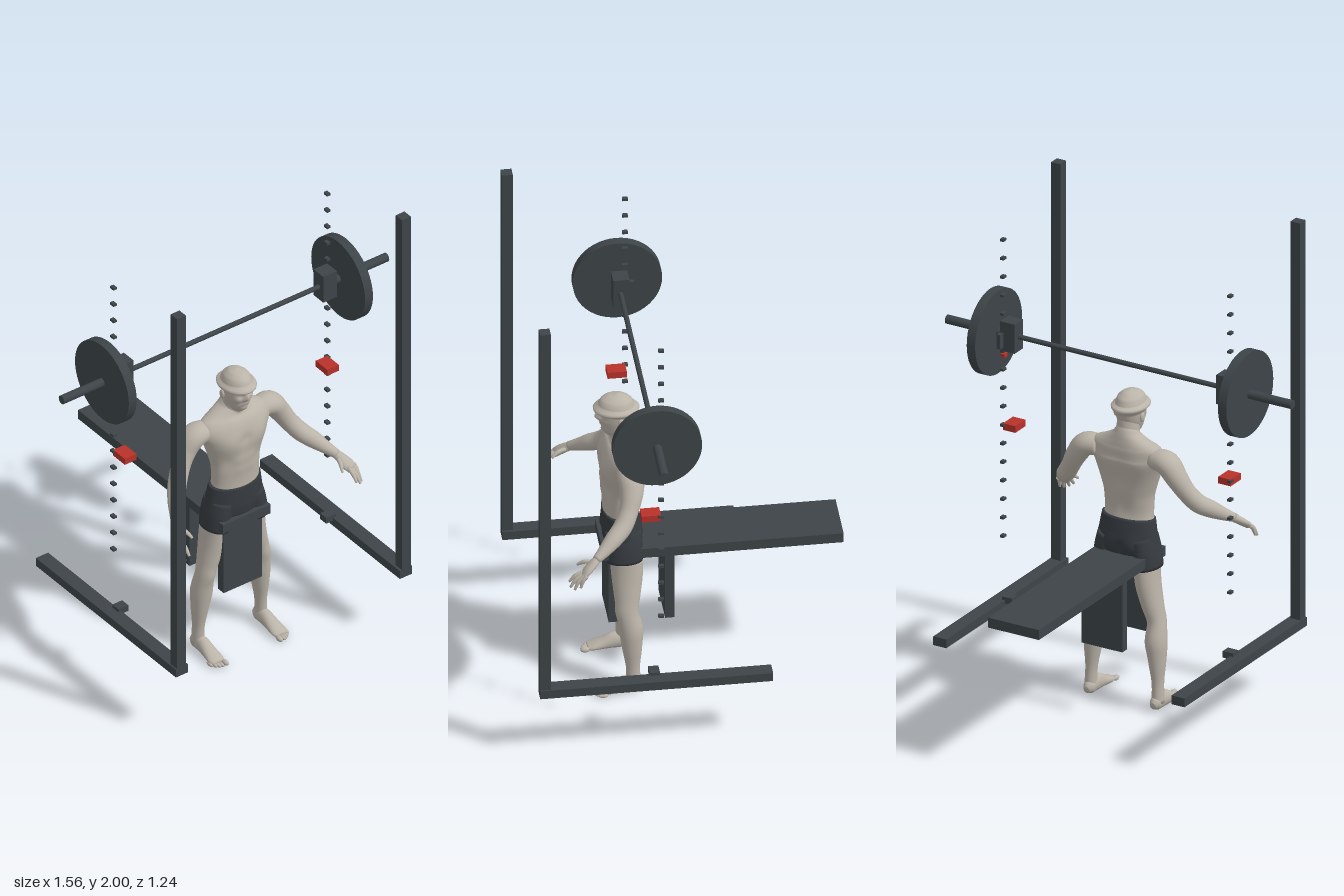
import * as THREE from 'three';

const mat = (name, color) => {
  const m = new THREE.MeshStandardMaterial({ color });
  m.name = name;
  return m;
};

export function createModel() {
  const steel = mat('dark steel', 0x3d4448);
  const cloth = mat('shorts cloth', 0x363b40);
  const red = mat('red paint', 0xb8322a);
  const skin = mat('skin', 0xbab3a8);
  const root = new THREE.Group();

  const add = (parent, name, geo, material) => {
    const m = new THREE.Mesh(geo, material);
    m.name = name;
    parent.add(m);
    return m;
  };
  // Box given by its extents on each axis
  const box = (name, x0, x1, y0, y1, z0, z1, material = steel) => {
    const g = new THREE.BoxGeometry(Math.abs(x1 - x0), y1 - y0, z1 - z0);
    g.translate((x0 + x1) / 2, (y0 + y1) / 2, (z0 + z1) / 2);
    return add(root, name, g, material);
  };
  const rod = (name, x0, x1, r, y, z) => {
    const g = new THREE.CylinderGeometry(r, r, Math.abs(x1 - x0), 48);
    g.rotateZ(Math.PI / 2).translate((x0 + x1) / 2, y, z);
    return add(root, name, g, steel);
  };
  // Smooth skin through elliptical sections [x, y, z, ra, rb]; ra lies along ref.
  // Bumps [x, y, z, amount, size] push the surface out or in, on both sides of x = 0.
  const loft = (parent, name, secs, material, { ref = [1, 0, 0], seg = 24, sub = 5, bumps = [] } = {}) => {
    const path = new THREE.CatmullRomCurve3(secs.map(s => new THREE.Vector3(s[0], s[1], s[2])));
    const size = new THREE.CatmullRomCurve3(secs.map(s => new THREE.Vector3(s[3], s[4], 0)));
    const rows = (secs.length - 1) * sub, pos = [], idx = [];
    const R = new THREE.Vector3(...ref);
    for (let i = 0; i <= rows; i++) {
      const t = i / rows, c = path.getPoint(t), r = size.getPoint(t), T = path.getTangent(t);
      const A = R.clone().addScaledVector(T, -R.dot(T)).normalize();
      const B = A.clone().cross(T);
      for (let j = 0; j < seg; j++) {
        const a = j / seg * Math.PI * 2;
        const d = A.clone().multiplyScalar(Math.cos(a) * r.x).addScaledVector(B, Math.sin(a) * r.y);
        const p = c.clone().add(d), n = d.normalize();
        let push = 0;
        for (const [x, y, z, amt, s] of bumps) {
          const q = (Math.abs(p.x) - x) ** 2 + (p.y - y) ** 2 + (p.z - z) ** 2;
          push += amt * Math.exp(-q / (s * s));
        }
        p.addScaledVector(n, push);
        pos.push(p.x, p.y, p.z);
        if (i < rows) {
          const k = i * seg + j, l = i * seg + (j + 1) % seg;
          idx.push(k, k + seg, l, l, k + seg, l + seg);
        }
      }
    }
    const first = secs[0], last = secs[secs.length - 1], c0 = pos.length / 3;
    pos.push(first[0], first[1], first[2], last[0], last[1], last[2]);
    for (let j = 0; j < seg; j++) {
      const n = (j + 1) % seg;
      idx.push(c0, j, n, c0 + 1, rows * seg + n, rows * seg + j);
    }
    const g = new THREE.BufferGeometry();
    g.setAttribute('position', new THREE.Float32BufferAttribute(pos, 3));
    g.setIndex(idx);
    g.computeVertexNormals();
    return add(parent, name, g, material);
  };
  const ball = (parent, name, x, y, z, rx, ry, rz) => {
    const g = new THREE.SphereGeometry(1, 16, 12);
    g.scale(rx, ry, rz).translate(x, y, z);
    return add(parent, name, g, skin);
  };

  // Rack, catches and weights, mirrored
  for (const s of [-1, 1]) {
    box('upright', s * 0.519, s * 0.561, 0.326, 2, 0.58, 0.622);
    box('baseRail', s * 0.508, s * 0.567, 0.289, 0.326, -0.284, 0.622);
    box('railBracket', s * 0.475, s * 0.522, 0.313, 0.34, 0.15, 0.19);
    for (let i = 0; i < 17; i++) {
      const y = 0.6 + i * 0.0781;
      box('heightPeg', s * 0.505, s * 0.521, y - 0.005, y + 0.005, 0.134, 0.156);
    }
    box('safetyCatch', s * 0.458, s * 0.514, 1.046, 1.074, 0.145, 0.22, red);
    box('barHook', s * 0.455, s * 0.52, 1.384, 1.507, 0.135, 0.198);
    box('hookMount', s * 0.505, s * 0.522, 1.40, 1.46, 0.11, 0.15);
    box('hookPin', s * 0.5, s * 0.518, 1.357, 1.371, 0.134, 0.158, red);
    rod('weightPlate', s * 0.548, s * 0.586, 0.174, 1.443, 0.169);
    rod('barSleeve', s * 0.5, s * 0.78, 0.018, 1.443, 0.169);
  }
  rod('bar', -0.5, 0.5, 0.01, 1.443, 0.169);

  // Bench
  box('benchTop', -0.115, 0.115, 0.596, 0.638, -0.62, 0.316);
  for (const z of [0.035, 0.255]) box('benchLeg', -0.092, 0.092, 0.289, 0.596, z, z + 0.036);

  // Standing figure
  const man = new THREE.Group();
  man.name = 'figure';
  root.add(man);
  const vertical = rows => rows.map(([y, rx, z, rz]) => [0, y, z, rx, rz]);

  loft(man, 'torso', vertical([
    [0.74, 0.11, 0.235, 0.07], [0.80, 0.104, 0.24, 0.064], [0.87, 0.108, 0.24, 0.068],
    [0.93, 0.124, 0.238, 0.073], [0.99, 0.144, 0.236, 0.076], [1.04, 0.165, 0.232, 0.073],
    [1.08, 0.15, 0.222, 0.06], [1.105, 0.1, 0.22, 0.052], [1.13, 0.055, 0.222, 0.048], [1.15, 0.04, 0.228, 0.045],
  ]), skin, { seg: 48, bumps: [
    [0.07, 0.995, 0.305, 0.013, 0.05], [0, 1.0, 0.31, -0.006, 0.02], [0, 0.94, 0.16, -0.012, 0.06],
    [0, 0.84, 0.17, -0.008, 0.04], [0.08, 1.02, 0.165, 0.008, 0.05], [0.08, 0.9, 0.3, -0.005, 0.03],
    [0.025, 0.86, 0.31, 0.004, 0.022], [0.025, 0.905, 0.31, 0.004, 0.022], [0.04, 1.075, 0.27, 0.006, 0.025],
  ] });
  loft(man, 'neck', vertical([[1.08, 0.055, 0.222, 0.052], [1.13, 0.046, 0.228, 0.048], [1.19, 0.043, 0.236, 0.05]]), skin);
  loft(man, 'head', vertical([
    [1.126, 0.014, 0.292, 0.022], [1.14, 0.035, 0.278, 0.044], [1.16, 0.045, 0.265, 0.055],
    [1.19, 0.054, 0.255, 0.066], [1.22, 0.058, 0.25, 0.072], [1.25, 0.058, 0.249, 0.072],
    [1.275, 0.048, 0.247, 0.06], [1.292, 0.028, 0.246, 0.034], [1.299, 0.004, 0.246, 0.005],
  ]), skin, { seg: 48, bumps: [
    [0, 1.192, 0.322, 0.02, 0.012], [0, 1.208, 0.322, 0.012, 0.009], [0.022, 1.212, 0.315, -0.009, 0.012],
    [0.02, 1.229, 0.318, 0.005, 0.012], [0, 1.164, 0.32, 0.007, 0.011], [0, 1.138, 0.32, 0.006, 0.014],
    [0.033, 1.192, 0.3, 0.004, 0.014],
  ] });

  loft(man, 'shortsSeat', vertical([
    [0.61, 0.085, 0.232, 0.055], [0.64, 0.12, 0.231, 0.072], [0.68, 0.129, 0.23, 0.077],
    [0.73, 0.122, 0.233, 0.074], [0.778, 0.114, 0.237, 0.069],
  ]), cloth, { seg: 40, bumps: [[0.055, 0.67, 0.155, 0.008, 0.04], [0, 0.67, 0.155, -0.006, 0.02]] });

  for (const s of [-1, 1]) {
    const side = rows => rows.map(([x, ...rest]) => [s * x, ...rest]);
    loft(man, 'shortsLeg', side([
      [0.07, 0.70, 0.23, 0.052, 0.07], [0.083, 0.64, 0.23, 0.054, 0.073], [0.091, 0.578, 0.23, 0.054, 0.072],
    ]), cloth);
    loft(man, 'leg', side([
      [0.086, 0.62, 0.225, 0.05, 0.064], [0.096, 0.52, 0.22, 0.047, 0.062], [0.115, 0.43, 0.222, 0.041, 0.052],
      [0.133, 0.36, 0.223, 0.036, 0.043], [0.139, 0.28, 0.211, 0.042, 0.046], [0.145, 0.2, 0.207, 0.034, 0.039],
      [0.15, 0.1, 0.204, 0.023, 0.027], [0.152, 0.03, 0.202, 0.024, 0.029],
    ]), skin, { bumps: [[0.133, 0.365, 0.265, 0.005, 0.025], [0.12, 0.29, 0.17, 0.004, 0.04]] });
    loft(man, 'foot', side([
      [0.15, 0.024, 0.166, 0.012, 0.014], [0.15, 0.03, 0.185, 0.023, 0.029], [0.15, 0.036, 0.23, 0.026, 0.035],
      [0.151, 0.025, 0.28, 0.03, 0.024], [0.152, 0.016, 0.32, 0.033, 0.015], [0.151, 0.012, 0.342, 0.026, 0.01],
    ]), skin);
    for (let i = 0; i < 5; i++) {
      const r = i ? 0.0078 : 0.011;
      ball(man, 'toe', s * (0.13 + (i ? 0.006 : 0) + i * 0.0115), r, 0.352 - i * i * 0.0018, r, r, 0.019);
    }
    loft(man, 'arm', side([
      [0.12, 1.045, 0.222, 0.045, 0.04], [0.183, 1.038, 0.218, 0.054, 0.046], [0.226, 0.985, 0.22, 0.046, 0.042],
      [0.262, 0.925, 0.237, 0.038, 0.037], [0.297, 0.877, 0.265, 0.037, 0.037], [0.33, 0.847, 0.304, 0.034, 0.034],
      [0.362, 0.818, 0.345, 0.025, 0.025], [0.387, 0.796, 0.38, 0.017, 0.018],
    ]), skin, { ref: [0, 0, 1] });
    loft(man, 'palm', side([
      [0.38, 0.802, 0.37, 0.016, 0.016], [0.394, 0.785, 0.392, 0.022, 0.016],
      [0.408, 0.764, 0.418, 0.027, 0.014], [0.418, 0.748, 0.434, 0.024, 0.01],
    ]), skin, { seg: 16 });
    // Fingers run from knuckle to tip, thumb last
    const digits = [
      [0.433, 0.757, 0.422, 0.441, 0.71, 0.447], [0.425, 0.754, 0.43, 0.436, 0.7, 0.47],
      [0.413, 0.752, 0.434, 0.421, 0.703, 0.485], [0.402, 0.756, 0.432, 0.402, 0.717, 0.487],
      [0.38, 0.787, 0.395, 0.36, 0.764, 0.45],
    ];
    for (const [x, y, z, X, Y, Z] of digits) {
      loft(man, 'finger', side([
        [x, y, z, 0.009, 0.009], [(x + X) / 2, (y + Y) / 2 + 0.006, (z + Z) / 2 + 0.003, 0.0085, 0.0085],
        [X, Y, Z, 0.005, 0.005],
      ]), skin, { seg: 10 });
    }
    ball(man, 'ear', s * 0.06, 1.198, 0.237, 0.007, 0.02, 0.013);
  }
  return root;
}
